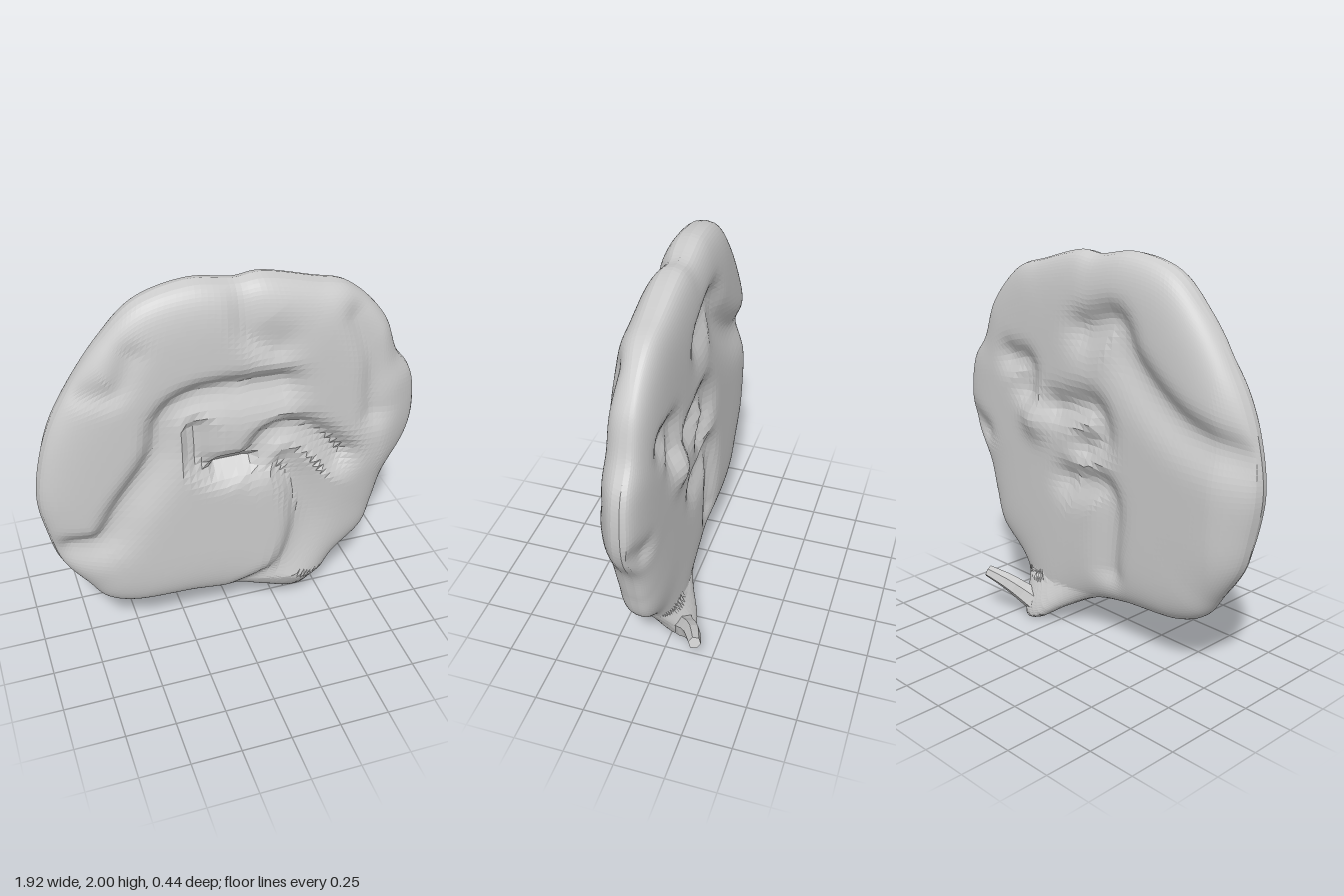
import * as THREE from 'three';

const { smoothstep, lerp, clamp } = THREE.MathUtils;

// Silhouette, clockwise seen from the front
const OUTLINE = [
  [-0.96, 1.0], [-0.93, 1.22], [-0.87, 1.4], [-0.78, 1.56], [-0.62, 1.78], [-0.45, 1.94], [-0.2, 2.0],
  [0.02, 1.97], [0.13, 1.98], [0.4, 1.91], [0.56, 1.86], [0.76, 1.66], [0.84, 1.46], [0.93, 1.33],
  [0.96, 1.1], [0.93, 0.96], [0.82, 0.78], [0.77, 0.6], [0.72, 0.44], [0.55, 0.28], [0.47, 0.14],
  [0.41, 0.01], [0.34, 0.01], [0.2, 0.1], [0, 0.2], [-0.2, 0.24], [-0.55, 0.27], [-0.68, 0.33],
  [-0.76, 0.44], [-0.88, 0.62], [-0.93, 0.8],
];

const smoothCurve = (points, closed) =>
  new THREE.CatmullRomCurve3(points.map(([x, y]) => new THREE.Vector3(x, y, 0)), closed, 'centripetal');

// A fold: path, depth, width of its left side and of its right side
const fold = (points, depth, left, right) => ({ path: smoothCurve(points, false).getPoints(20), depth, left, right });

const FRONT_FOLDS = [
  fold([[-0.82, 0.73], [-0.69, 0.74], [-0.58, 0.92], [-0.41, 1.18], [-0.36, 1.38], [-0.22, 1.47], [0.2, 1.47]], 0.065, 0.06, 0.12),
  fold([[0.06, 1.02], [-0.1, 1.02], [-0.2, 1.1], [-0.23, 1.28]], 0.06, 0.06, 0.08),
  fold([[0.06, 1.06], [0.14, 1.18], [0.28, 1.2], [0.4, 1.13], [0.53, 1.0]], 0.07, 0.06, 0.12),
  fold([[-0.1, 1.04], [0.06, 1.04]], 0.11, 0.06, 0.06),
  fold([[0.05, 0.23], [0.24, 0.34], [0.32, 0.6], [0.29, 0.85], [0.22, 0.98]], 0.06, 0.06, 0.14),
  fold([[0.17, 1.66], [0.04, 1.75], [0.01, 1.95]], 0.03, 0.06, 0.12),
  fold([[0.68, 1.22], [0.66, 1.5], [0.58, 1.72]], 0.04, 0.06, 0.12),
  fold([[-0.72, 1.56], [-0.58, 1.56], [-0.5, 1.72]], 0.025, 0.07, 0.06),
];
const BACK_FOLDS = [
  fold([[0.04, 1.62], [-0.17, 1.68], [-0.28, 1.51], [-0.58, 1.28], [-0.92, 1.18]], 0.055, 0.12, 0.08),
  fold([[0.22, 1.2], [-0.04, 1.23], [-0.09, 1.1], [0.02, 1.03]], 0.05, 0.08, 0.08),
  fold([[0.15, 0.84], [-0.13, 0.84], [-0.15, 0.43]], 0.045, 0.1, 0.07),
  fold([[0.58, 1.4], [0.45, 1.38], [0.45, 1.25]], 0.045, 0.08, 0.07),
  fold([[0.92, 1.0], [0.82, 0.95]], 0.04, 0.07, 0.07),
];

// Distance to a path and the side of it: -1 is left of travel, 1 is right
function nearest(x, y, path) {
  let dist = Infinity, side = 0;
  for (let i = 0; i + 1 < path.length; i++) {
    const a = path[i], dx = path[i + 1].x - a.x, dy = path[i + 1].y - a.y, len = Math.hypot(dx, dy);
    const t = clamp(((x - a.x) * dx + (y - a.y) * dy) / (len * len), 0, 1);
    const px = x - a.x - dx * t, py = y - a.y - dy * t, d = Math.hypot(px, py);
    if (d < dist) {
      dist = d;
      side = (px * dy - py * dx) / (len * d + 1e-9);
    }
  }
  return { dist, side };
}

function carve(x, y, folds) {
  let deepest = 0;
  for (const { path, depth, left, right } of folds) {
    const { dist, side } = nearest(x, y, path);
    const r = dist / lerp(left, right, (side + 1) / 2);
    deepest = Math.max(deepest, depth * Math.exp(-r * r));
  }
  return deepest;
}

const bump = (x, y, cx, cy, r) => Math.exp(-((x - cx) ** 2 + (y - cy) ** 2) / (r * r));

// Surface depth on the front (side = 1) or back (side = -1); t runs from middle to rim
function surfaceZ(x, y, t, side) {
  const rim = 0.065 - 0.04 * x;
  const round = Math.pow(Math.max(0, 1 - Math.pow(t, 9)), 0.45);
  const face = side > 0
    ? 0.211 - carve(x, y, FRONT_FOLDS) - 0.025 * bump(x, y, 0.65, 0.55, 0.25) - 0.06 * smoothstep(x, 0.72, 0.95)
    : -0.05 + carve(x, y, BACK_FOLDS) - 0.045 * bump(x, y, 0.38, 1.1, 0.09) + 0.04 * smoothstep(-x, 0.75, 0.95);
  const bend = 0.6 * Math.max(0, 0.23 - y) * smoothstep(x, -0.1, 0.3);
  return rim + (face - rim) * round - bend;
}

// Rim radius about (0, 1) for any angle
const RIM = smoothCurve(OUTLINE, true).getSpacedPoints(400).slice(1)
  .map((p) => ({ angle: Math.atan2(p.y - 1, p.x), radius: Math.hypot(p.x, p.y - 1) }))
  .sort((a, b) => a.angle - b.angle);
function rimRadius(angle) {
  const found = RIM.findIndex((p) => p.angle > angle);
  const j = found < 0 ? 0 : found, b = RIM[j], a = RIM[(j + RIM.length - 1) % RIM.length];
  if (b.angle <= a.angle) return (a.radius + b.radius) / 2;
  return lerp(a.radius, b.radius, (angle - a.angle) / (b.angle - a.angle));
}

// One face of the disc: a square grid rounded out to the silhouette
function faceGeometry(side) {
  const N = 72, g = new THREE.PlaneGeometry(2, 2, N, N), p = g.attributes.position;
  const spread = (s) => 0.4 * s + 0.6 * Math.sin(s * Math.PI / 2);
  for (let i = 0; i < p.count; i++) {
    const u = spread(p.getX(i)), v = spread(p.getY(i));
    const a = u * Math.sqrt(1 - v * v / 2), b = v * Math.sqrt(1 - u * u / 2);
    const t = Math.min(1, Math.hypot(a, b)), angle = Math.atan2(b, a), r = t * rimRadius(angle);
    const x = r * Math.cos(angle), y = 1 + r * Math.sin(angle);
    p.setXYZ(i, x, y, surfaceZ(x, y, t, side));
  }
  if (side < 0) g.setIndex(Array.from(g.index.array).reverse());
  g.computeVertexNormals();
  return g;
}

// Small curled tail, a tapering tube closed at its end
function tailGeometry() {
  const path = new THREE.CatmullRomCurve3([
    new THREE.Vector3(0.37, 0.07, -0.05), new THREE.Vector3(0.44, 0.12, -0.09),
    new THREE.Vector3(0.51, 0.18, -0.145), new THREE.Vector3(0.62, 0.225, -0.195),
  ]);
  const N = 6, S = 6;
  const g = new THREE.TubeGeometry(path, N, 1, S, false);
  const p = g.attributes.position, v = new THREE.Vector3();
  for (let i = 0; i <= N; i++) {
    const c = path.getPointAt(i / N), r = 0.065 - 0.033 * (i / N);
    for (let j = 0; j <= S; j++) {
      const n = i * (S + 1) + j;
      v.fromBufferAttribute(p, n).sub(c).multiplyScalar(r).add(c);
      p.setXYZ(n, v.x, v.y, v.z);
    }
  }
  const idx = Array.from(g.index.array), e = N * (S + 1);
  for (let j = 1; j + 1 < S; j++) idx.push(e, e + j, e + j + 1);
  g.setIndex(idx);
  g.computeVertexNormals();
  return g;
}

export function createModel() {
  const group = new THREE.Group();
  group.name = 'swirledDisc';
  const material = new THREE.MeshStandardMaterial({ color: 0xcccccc, flatShading: true, side: THREE.DoubleSide });
  const parts = { discFront: faceGeometry(1), discBack: faceGeometry(-1), tail: tailGeometry() };
  for (const [name, geometry] of Object.entries(parts)) {
    const mesh = new THREE.Mesh(geometry, material);
    mesh.name = name;
    group.add(mesh);
  }
  return group;
}
